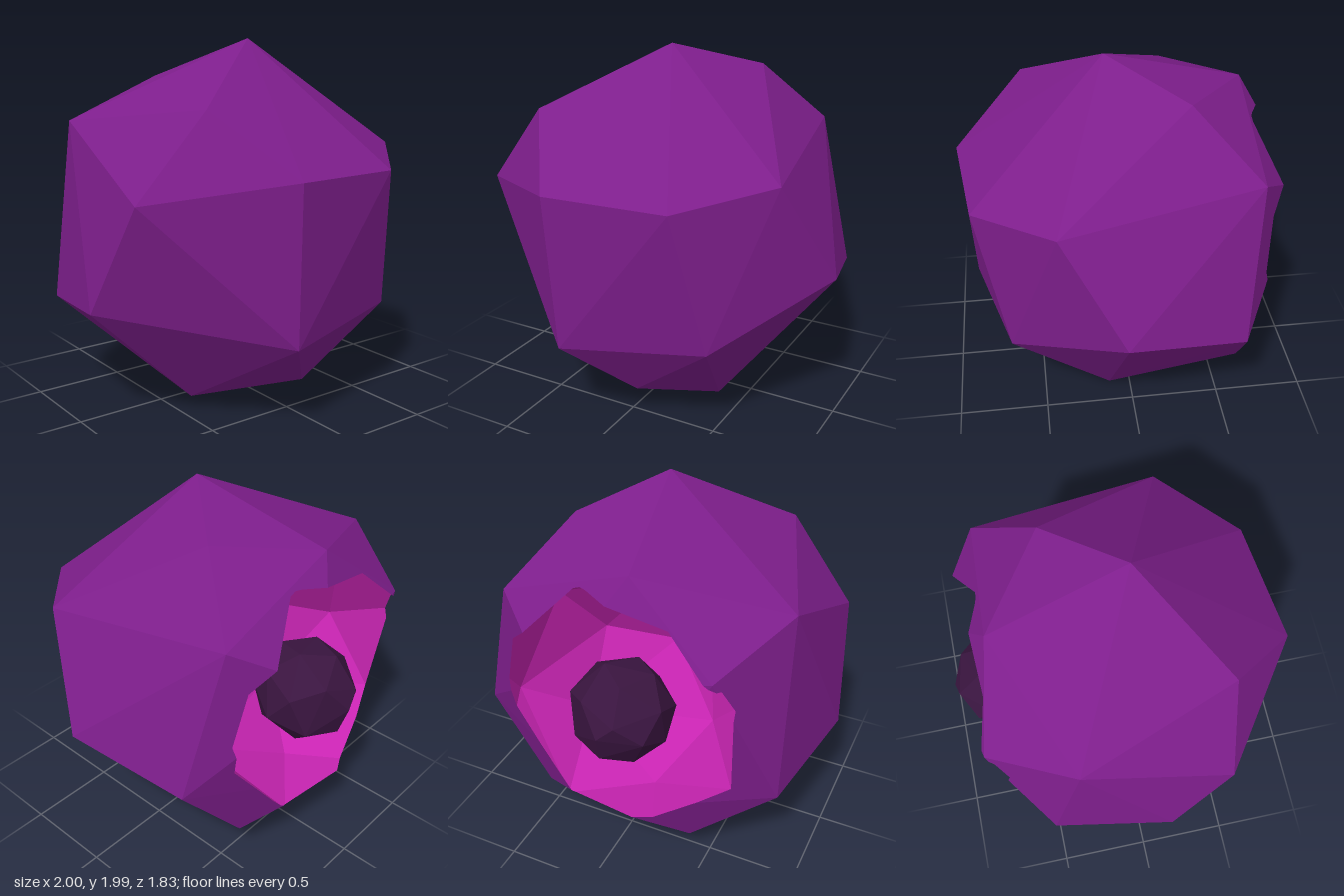
import * as THREE from 'three';
import { ConvexGeometry } from 'three/addons/geometries/ConvexGeometry.js';

const V = (x, y, z) => new THREE.Vector3(x, y, z);

// Corners of the faceted shell, top to bottom; the last two lie where the hollow is cut
const SHELL = [
  [0.03, 1.99, 0.1], [0.38, 1.85, -0.3], [-0.1, 1.765, -0.65], [-0.54, 1.66, 0.52],
  [-0.84, 1.56, -0.33], [0.63, 1.51, -0.64], [0.8, 1.4, 0.41], [-0.59, 1.37, -0.78],
  [-0.26, 1.33, 0.91], [0.41, 1.32, 0.83], [-0.91, 1.22, 0.46], [1, 0.84, 0.09],
  [0.85, 0.7, -0.55], [-1, 0.63, 0.15], [-0.87, 0.55, -0.51], [0.54, 0.545, 0.67],
  [-0.23, 0.48, 0.86], [0.47, 0.25, -0.61], [0.06, 0.165, 0.555], [-0.41, 0.16, -0.59],
  [-0.43, 0.07, 0.2], [0.35, 0, 0.12], [0.22, 1.25, -0.95], [-0.04, 0.47, -0.9],
].map(p => V(...p));

// Faceted ball: convex hull of evenly spiralled points, one pole towards -z
function facetBall(count, radius, centre) {
  const points = [];
  for (let i = 0; i < count; i++) {
    const z = -1 + (2 * i) / (count - 1);
    const r = Math.sqrt(Math.max(0, 1 - z * z));
    const a = i * 2.39996;
    points.push(V(r * Math.cos(a), r * Math.sin(a), z).multiplyScalar(radius).add(centre));
  }
  return new ConvexGeometry(points);
}

// Triangles of a geometry as lists of corners
function facesOf(geometry) {
  const p = geometry.attributes.position;
  const faces = [];
  for (let i = 0; i < p.count; i += 3) {
    faces.push([0, 1, 2].map(k => new THREE.Vector3().fromBufferAttribute(p, i + k)));
  }
  return faces;
}

const planesOf = faces => faces.map(f => new THREE.Plane().setFromCoplanarPoints(...f));

// Split a convex polygon into the parts outside and inside a plane
function split(poly, plane) {
  const outside = [], inside = [];
  poly.forEach((a, i) => {
    const b = poly[(i + 1) % poly.length];
    const da = plane.distanceToPoint(a), db = plane.distanceToPoint(b);
    if (da >= 0) outside.push(a);
    if (da <= 0) inside.push(a);
    if (da * db < 0) {
      const cut = a.clone().lerp(b, da / (da - db));
      outside.push(cut);
      inside.push(cut);
    }
  });
  return { outside, inside };
}

// Cut polygons by a convex solid: gather the pieces outside it and inside it
function cutBySolid(polys, planes) {
  const outer = [], inner = [];
  for (let poly of polys) {
    for (const plane of planes) {
      const { outside, inside } = split(poly, plane);
      if (outside.length > 2) outer.push(outside);
      poly = inside;
      if (poly.length < 3) break;
    }
    if (poly.length > 2) inner.push(poly);
  }
  return { outer, inner };
}

function polygonMesh(name, polys, color) {
  const points = [];
  for (const p of polys) {
    for (let i = 1; i < p.length - 1; i++) points.push(p[0], p[i], p[i + 1]);
  }
  const geometry = new THREE.BufferGeometry().setFromPoints(points);
  geometry.computeVertexNormals();
  return facetMesh(name, geometry, color);
}

function facetMesh(name, geometry, color) {
  const material = new THREE.MeshStandardMaterial({ color, flatShading: true, side: THREE.DoubleSide });
  const mesh = new THREE.Mesh(geometry, material);
  mesh.name = name;
  return mesh;
}

export function createModel() {
  const group = new THREE.Group();
  group.name = 'hollowedRock';

  const shellFaces = facesOf(new ConvexGeometry(SHELL));
  const hollowFaces = facesOf(facetBall(24, 0.71, V(-0.04, 0.98, -0.66)));

  // Outer shell with the hollow cut out of its back
  const shell = cutBySolid(shellFaces, planesOf(hollowFaces)).outer;
  group.add(polygonMesh('shell', shell, 0x7e1e8c));

  // Wall of the hollow, turned to face outwards through the opening
  const wall = cutBySolid(hollowFaces, planesOf(shellFaces)).inner.map(p => p.reverse());
  group.add(polygonMesh('hollowWall', wall, 0xc724b1));

  // Dark core sitting in the hollow
  group.add(facetMesh('core', facetBall(24, 0.285, V(-0.03, 0.945, -0.63)), 0x3a1540));
  return group;
}
